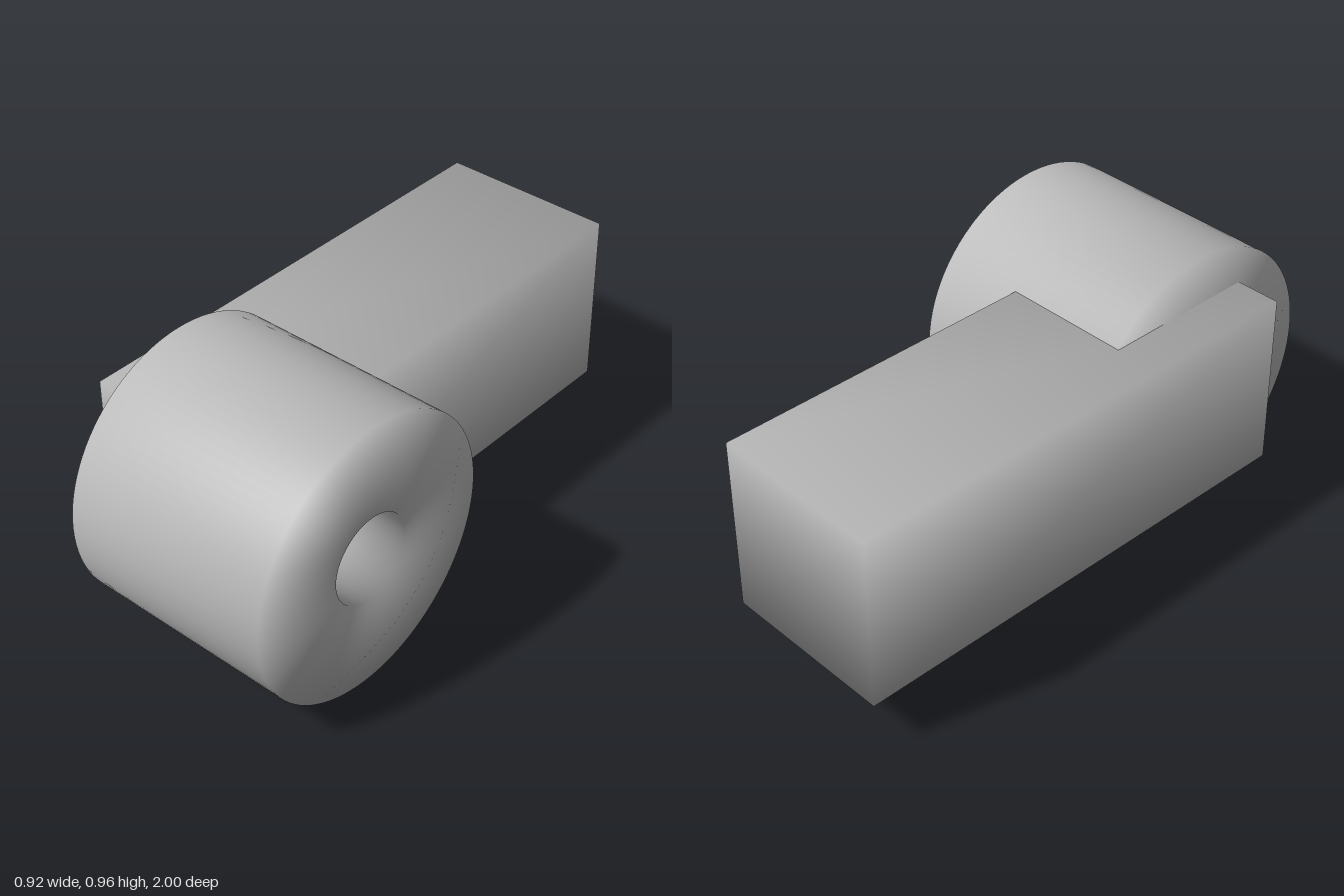
import * as THREE from 'three';
import { mergeVertices } from 'three/addons/utils/BufferGeometryUtils.js';

export function createModel() {
  const group = new THREE.Group();
  const grey = new THREE.MeshStandardMaterial({ color: 0xbfbfbf });
  grey.name = 'plain grey';

  // Square arm running from back to front, with shared corners for soft shading
  let armGeometry = new THREE.BoxGeometry(0.615, 0.615, 1.71);
  armGeometry.deleteAttribute('normal');
  armGeometry.deleteAttribute('uv');
  armGeometry = mergeVertices(armGeometry);
  armGeometry.computeVertexNormals();
  const arm = new THREE.Mesh(armGeometry, grey);
  arm.name = 'arm';
  arm.position.set(-0.15, 0.48, -0.145);
  group.add(arm);

  // Round drum lying across the arm, with a blind bore in its left end
  const half = 0.3775, radius = 0.48, bore = 0.153, depth = 0.17;
  const profile = [
    [0, -half], [radius, -half], [radius, half],
    [bore, half], [bore, half - depth], [0, half - depth],
  ].map(([x, y]) => new THREE.Vector2(x, y));
  const drum = new THREE.Mesh(new THREE.LatheGeometry(profile, 96), grey);
  drum.name = 'drum';
  drum.rotation.z = -Math.PI / 2;
  drum.position.set(0.08, 0.48, 0.52);
  group.add(drum);

  return group;
}
